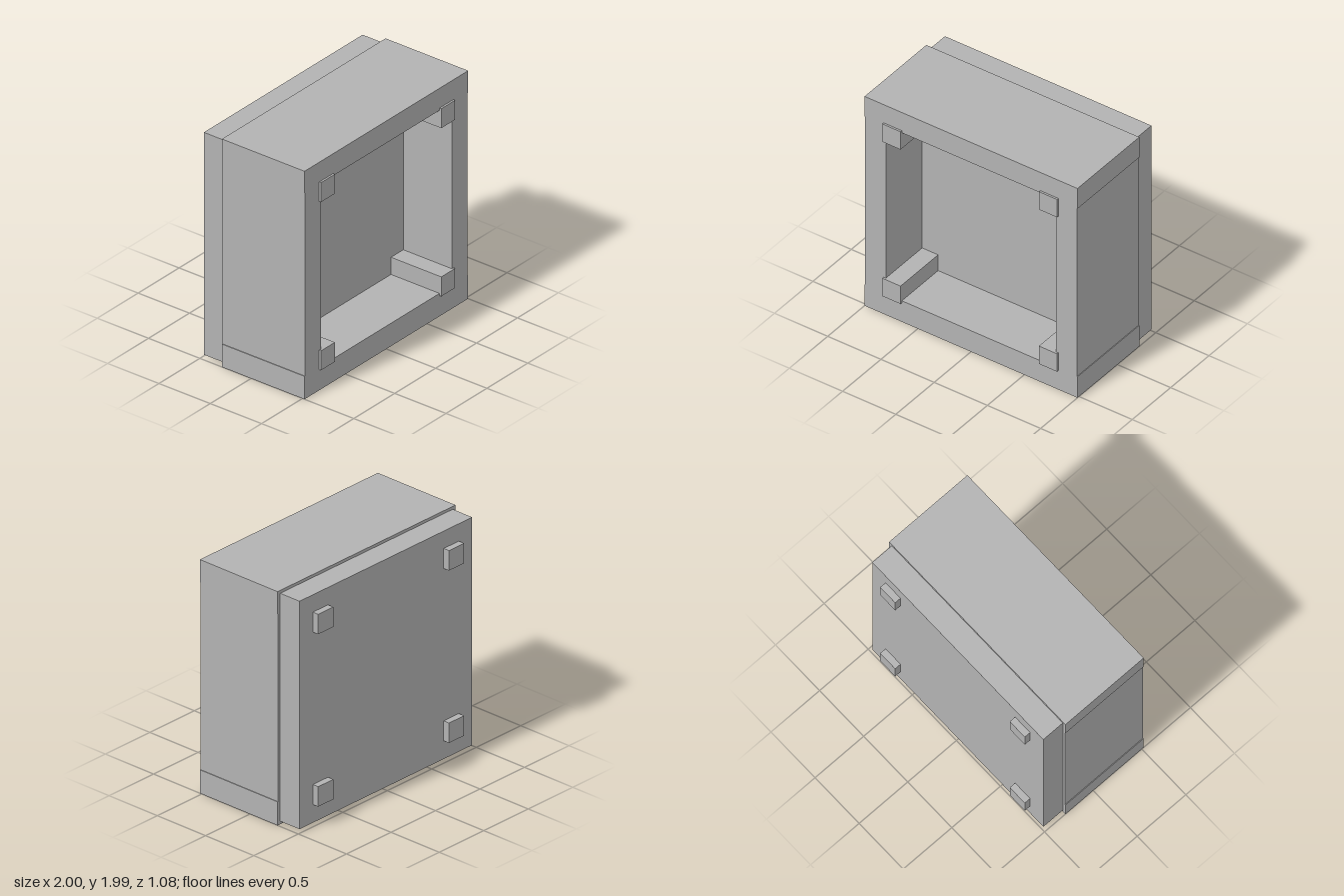
import * as THREE from 'three';

export function createModel() {
  const model = new THREE.Group();
  const grey = new THREE.MeshStandardMaterial({ color: 0xb2b2b2 });
  grey.name = 'plain grey';

  // Box given by its minimum and maximum on each axis
  const block = (name, [x0, x1], [y0, y1], [z0, z1]) => {
    const mesh = new THREE.Mesh(new THREE.BoxGeometry(x1 - x0, y1 - y0, z1 - z0), grey);
    mesh.position.set((x0 + x1) / 2, (y0 + y1) / 2, (z0 + z1) / 2);
    mesh.name = name;
    model.add(mesh);
  };

  // Frame: full-width rails above and below, slightly inset side walls between
  const depth = [-0.285, 0.52];
  block('bottomRail', [-1, 1], [0, 0.2], depth);
  block('topRail', [-1, 1], [1.8, 1.993], depth);
  block('leftWall', [0.8, 0.994], [0.2, 1.8], depth);
  block('rightWall', [-0.994, -0.8], [0.2, 1.8], depth);

  // Back: recess floor inside the frame and the smaller panel behind it
  block('recessFloor', [-0.8, 0.8], [0.2, 1.8], [-0.285, 0.047]);
  block('backPanel', [-0.97, 0.97], [0.025, 1.968], [-0.485, -0.285]);

  // Corner posts run through the whole body and stick out at both ends
  for (const [side, x] of [['left', [0.65, 0.82]], ['right', [-0.82, -0.65]]]) {
    block(side + 'LowerPost', x, [0.18, 0.35], [-0.54, 0.537]);
    block(side + 'UpperPost', x, [1.65, 1.82], [-0.54, 0.537]);
  }
  return model;
}
